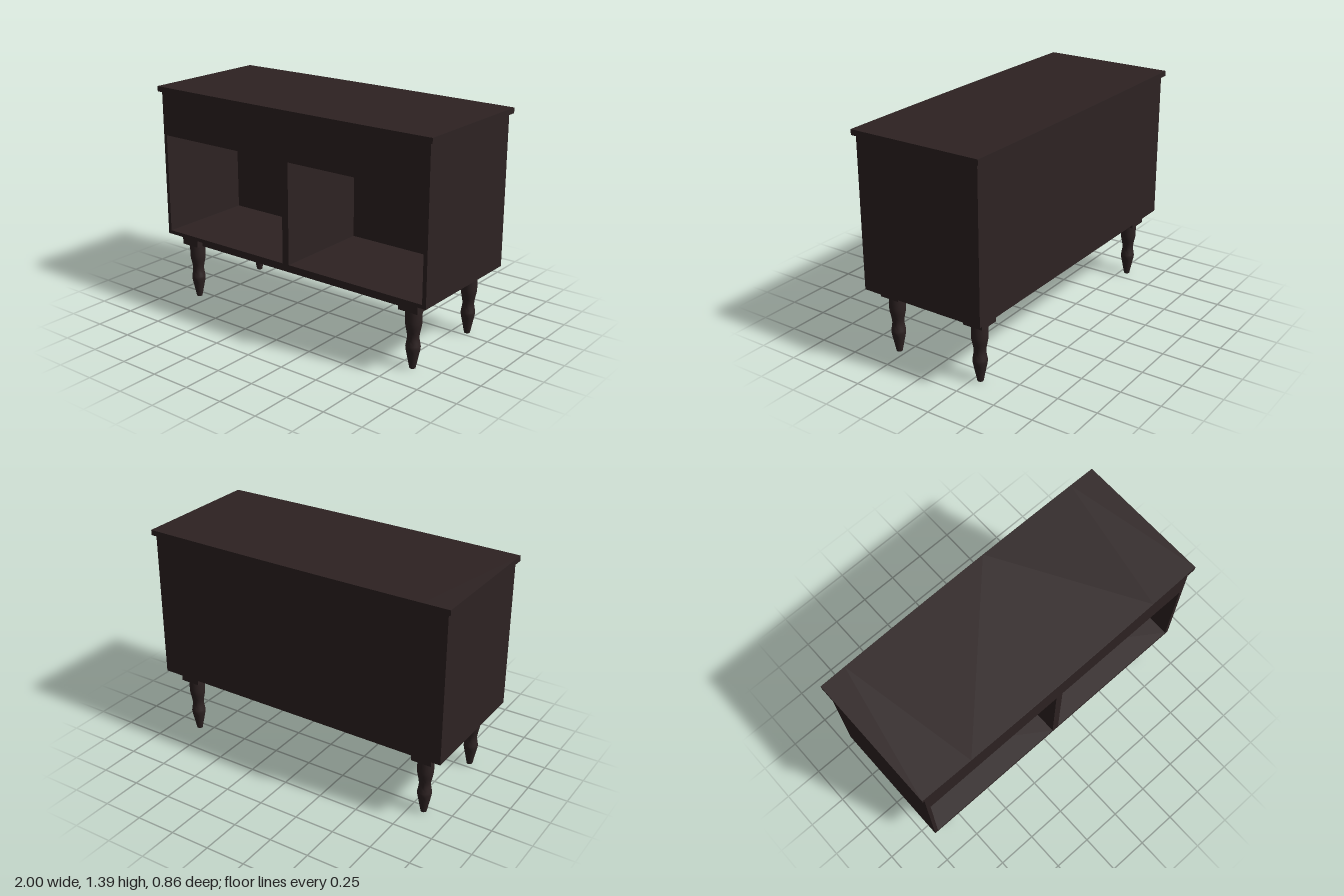
import * as THREE from 'three';
import { toCreasedNormals } from 'three/addons/utils/BufferGeometryUtils.js';

const darkWood = new THREE.MeshStandardMaterial({ color: 0x2d2222 });
darkWood.name = 'darkWood';

export function createModel() {
  const model = new THREE.Group();
  model.name = 'sideboard';

  const add = (name, geometry, x = 0, y = 0, z = 0) => {
    const mesh = new THREE.Mesh(geometry, darkWood);
    mesh.name = name;
    mesh.position.set(x, y, z);
    model.add(mesh);
    return mesh;
  };
  const box = (name, x0, x1, y0, y1, z0, z1) =>
    add(name, new THREE.BoxGeometry(x1 - x0, y1 - y0, z1 - z0), (x0 + x1) / 2, (y0 + y1) / 2, (z0 + z1) / 2);

  // Cabinet: a front face pierced by two open compartments, closed by a deep back
  const front = 0.405, back = -0.403, inner = -0.23;
  const face = new THREE.Shape();
  const rect = (path, x0, x1, y0, y1) => {
    path.moveTo(x0, y0);
    path.lineTo(x1, y0);
    path.lineTo(x1, y1);
    path.lineTo(x0, y1);
    path.closePath();
    return path;
  };
  rect(face, -0.98, 0.98, 0.43, 1.355);
  for (const [x0, x1] of [[-0.957, -0.024], [0.022, 0.955]]) {
    face.holes.push(rect(new THREE.Path(), x0, x1, 0.453, 1.08));
  }
  add('cabinetBody', new THREE.ExtrudeGeometry(face, { depth: front - inner, bevelEnabled: false }), 0, 0, inner);
  box('cabinetBack', -0.98, 0.98, 0.43, 1.355, back, inner);

  // Overhanging top board with slightly bowed long edges
  const top = new THREE.Shape();
  top.moveTo(-1, -0.422);
  top.quadraticCurveTo(0, -0.438, 1, -0.422);
  top.lineTo(1, 0.422);
  top.quadraticCurveTo(0, 0.438, -1, 0.422);
  top.closePath();
  const topGeometry = new THREE.ExtrudeGeometry(top, { depth: 0.033, bevelEnabled: false, curveSegments: 12 });
  topGeometry.rotateX(-Math.PI / 2);
  add('topBoard', topGeometry, 0, 1.355, 0);

  // Base frame rails between the legs
  const legX = 0.835, frontZ = 0.298, backZ = -0.292, half = 0.064;
  const y0 = 0.363, y1 = 0.43, rail = 0.022;
  for (const z of [frontZ, backZ]) {
    box('longRail', -legX + half, legX - half, y0, y1, z - rail, z + rail);
  }
  for (const x of [-legX, legX]) {
    box('shortRail', x - rail, x + rail, y0, y1, backZ + half, frontZ - half);
  }

  // Turned legs under square corner blocks
  const profile = new THREE.SplineCurve([
    [0.018, 0], [0.03, 0.06], [0.043, 0.125], [0.041, 0.15], [0.035, 0.19],
    [0.039, 0.225], [0.047, 0.265], [0.049, 0.3], [0.048, 0.365],
  ].map(([r, y]) => new THREE.Vector2(r, y))).getPoints(24);
  const legGeometry = toCreasedNormals(
    new THREE.LatheGeometry([new THREE.Vector2(0, 0), ...profile], 24), 0.7);
  for (const x of [-legX, legX]) {
    for (const z of [frontZ, backZ]) {
      box('cornerBlock', x - half, x + half, y0, y1, z - half, z + half);
      add('leg', legGeometry, x, 0, z);
    }
  }

  return model;
}
